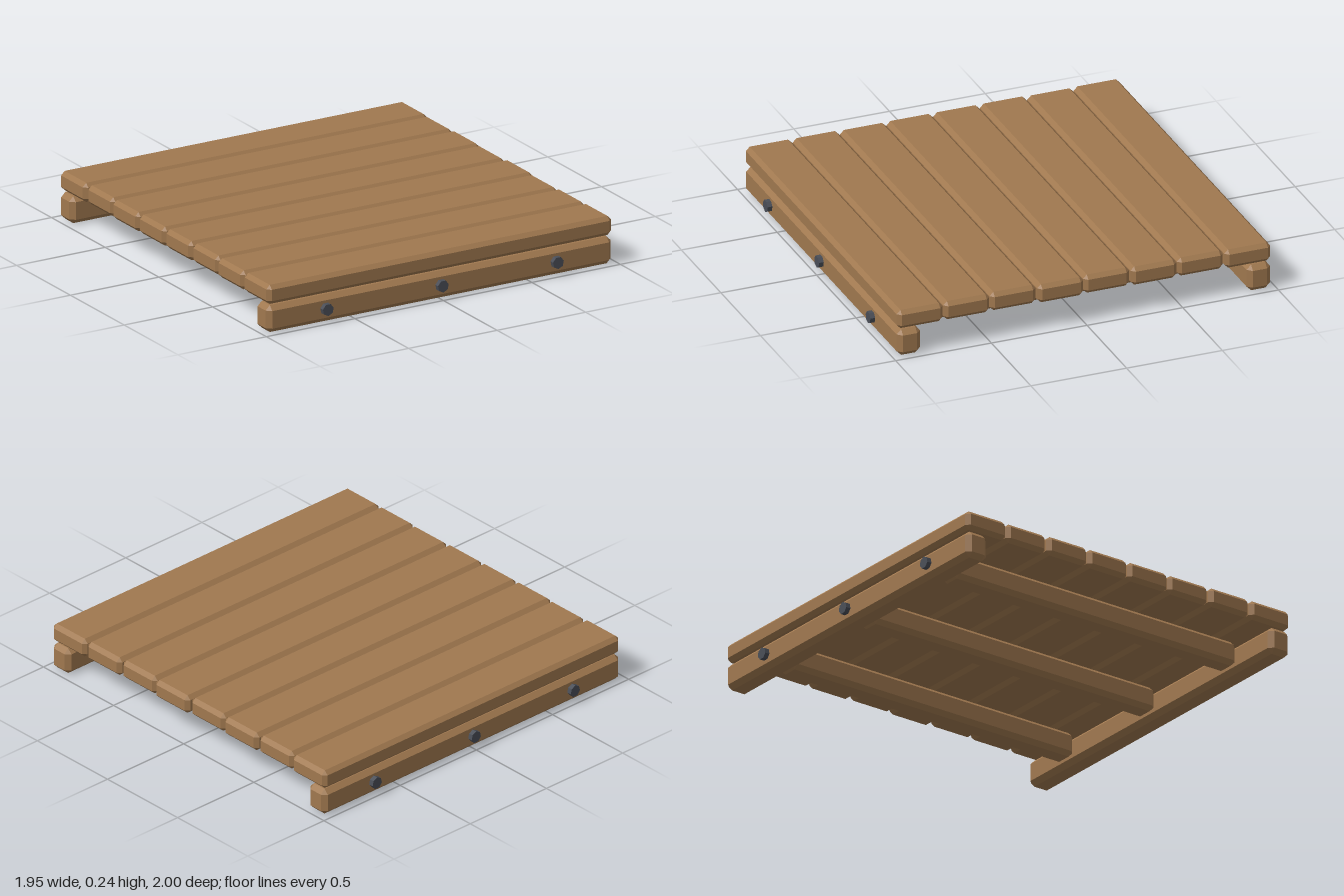
import * as THREE from 'three';
import { ConvexGeometry } from 'three/addons/geometries/ConvexGeometry.js';

// Box with every edge cut by a flat bevel of size c
function beveledBox(w, h, d, c) {
  const points = [];
  const [x, y, z] = [w / 2, h / 2, d / 2];
  for (const sx of [-1, 1]) for (const sy of [-1, 1]) for (const sz of [-1, 1]) {
    points.push(
      new THREE.Vector3(sx * x, sy * (y - c), sz * (z - c)),
      new THREE.Vector3(sx * (x - c), sy * y, sz * (z - c)),
      new THREE.Vector3(sx * (x - c), sy * (y - c), sz * z));
  }
  return new ConvexGeometry(points);
}

export function createModel() {
  const model = new THREE.Group();
  model.name = 'woodenPlatform';

  const wood = new THREE.MeshStandardMaterial({ color: 0xa0784f });
  wood.name = 'wood';
  wood.flatShading = true;
  const iron = new THREE.MeshStandardMaterial({ color: 0x4a4e57 });
  iron.name = 'darkIron';
  iron.flatShading = true;

  function add(name, geometry, material, x, y, z) {
    const mesh = new THREE.Mesh(geometry, material);
    mesh.name = name;
    mesh.position.set(x, y, z);
    model.add(mesh);
    return mesh;
  }

  // Deck planks, back to front, with slightly uneven ends
  const ends = [
    [-0.972, 0.973], [-0.967, 0.965], [-0.973, 0.97], [-0.972, 0.963],
    [-0.971, 0.974], [-0.967, 0.964], [-0.973, 0.97], [-0.974, 0.973],
  ];
  ends.forEach(([left, right], i) => {
    add('deckPlank' + (i + 1), beveledBox(right - left, 0.098, 0.24, 0.02), wood,
      (left + right) / 2, 0.195, (i - 3.5) * 0.2445);
  });

  // Front and back beams with three bolts each
  for (const [side, s] of [['front', 1], ['back', -1]]) {
    add(side + 'Beam', beveledBox(1.95, 0.138, 0.122, 0.024), wood, 0, 0.069, s * 0.914);
    for (const x of [-0.65, 0, 0.65]) {
      const bolt = new THREE.CylinderGeometry(0.031, 0.031, 0.05, 7);
      bolt.rotateX(s * Math.PI / 2);
      add(side + 'Bolt', bolt, iron, x, 0.072, s * 0.975);
    }
  }

  // Joists running under the deck
  for (const x of [-0.65, 0, 0.65]) {
    add('joist', beveledBox(0.12, 0.125, 1.7, 0.022), wood, x, 0.083, 0);
  }

  return model;
}
